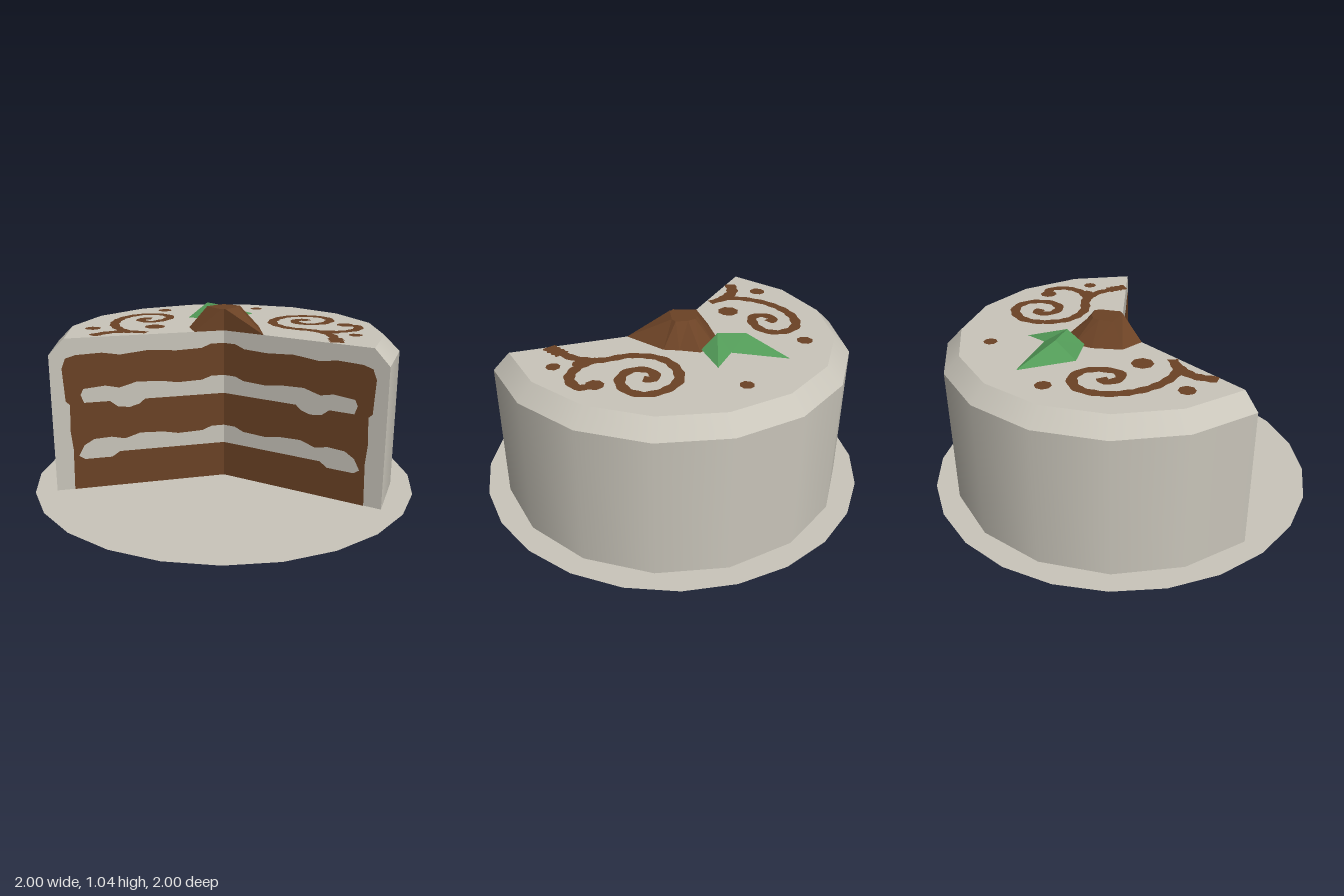
import * as THREE from 'three';

const mat = (name, color, extra = {}) => {
  const m = new THREE.MeshStandardMaterial({ color, ...extra });
  m.name = name;
  return m;
};

const PLATE_Y = 0.133, TOP = 0.93, SHOULDER = 0.85, R = 0.89, R_TOP = 0.81;

export function createModel() {
  const group = new THREE.Group();
  const cream = mat('cream icing', 0xc9c5ba, { side: THREE.DoubleSide });
  const brown = mat('chocolate', 0x6b4225, { side: THREE.DoubleSide });
  const chunk = mat('chocolate', 0x6b4225, { flatShading: true });
  chunk.color = brown.color;
  const green = mat('leaf green', 0x529a57, { side: THREE.DoubleSide, flatShading: true });

  const add = (name, geo, material, parent = group) => {
    const m = new THREE.Mesh(geo, material);
    m.name = name;
    parent.add(m);
    return m;
  };
  const v2 = (pts) => pts.map(([x, y]) => new THREE.Vector2(x, y));

  // Plate: shallow dish with a flat top
  add('plate', new THREE.CylinderGeometry(1, 0.61, PLATE_Y, 24), cream).position.y = PLATE_Y / 2;

  // Icing shell, five eighths of a full turn, one lathe per crisp band
  const shell = (name, pts) =>
    add(name, new THREE.LatheGeometry(v2(pts), 10, Math.PI / 2, Math.PI * 1.25), cream);
  shell('icingSide', [[R, PLATE_Y], [R, SHOULDER]]);
  shell('icingShoulder', [[R, SHOULDER], [R_TOP, TOP]]);
  shell('icingTop', [[R_TOP, TOP], [0, TOP]]);

  // Cut faces: icing outline, sponge over it, cream fillings over that
  const outline = [[0, PLATE_Y], [R, PLATE_Y], [R, SHOULDER], [R_TOP, TOP], [0, TOP]];
  const sponge = [[0, PLATE_Y], [0.8, PLATE_Y], [0.795, 0.35], [0.805, 0.45], [0.8, 0.59], [0.82, 0.61],
    [0.83, 0.78], [0.81, 0.83], [0.76, 0.845], [0.63, 0.85], [0.54, 0.835], [0.4, 0.85], [0.25, 0.84],
    [0.12, 0.845], [0.07, 0.865], [0, 0.865]];
  const upperFilling = [[0, 0.597], [0.42, 0.597], [0.45, 0.572], [0.5, 0.558], [0.56, 0.565], [0.6, 0.597],
    [0.73, 0.597], [0.745, 0.64], [0.73, 0.67], [0.62, 0.68], [0.55, 0.665], [0.46, 0.69], [0.33, 0.685],
    [0.25, 0.672], [0.12, 0.677], [0.07, 0.695], [0, 0.695]];
  const lowerFilling = [[0, 0.322], [0.56, 0.322], [0.6, 0.295], [0.74, 0.295], [0.77, 0.315], [0.74, 0.37],
    [0.69, 0.4], [0.6, 0.405], [0.53, 0.39], [0.45, 0.415], [0.33, 0.41], [0.25, 0.395], [0.12, 0.4],
    [0.07, 0.42], [0, 0.42]];
  for (const [name, side, turn] of [['leftCut', 1, 0], ['rightCut', -1, Math.PI / 4]]) {
    const cut = new THREE.Group();
    cut.name = name;
    cut.rotation.y = turn;
    group.add(cut);
    const layers = [['icingEdge', outline, cream], ['sponge', sponge, brown],
      ['upperFilling', upperFilling, cream], ['lowerFilling', lowerFilling, cream]];
    layers.forEach(([part, pts, m], i) => {
      const geo = new THREE.ShapeGeometry(new THREE.Shape(v2(pts.map(([x, y]) => [x * side, y]))));
      add(part, geo, m, cut).position.z = Math.min(i, 2) * 0.003;
    });
  }

  // Piped swirls: flat ribbons along smooth curves on the top
  const ribbon = (name, pts, width = 0.05) => {
    const curve = new THREE.CatmullRomCurve3(pts.map(([x, z]) => new THREE.Vector3(x, TOP + 0.004, z)));
    const n = pts.length * 6, pos = [], index = [];
    for (let i = 0; i <= n; i++) {
      const p = curve.getPointAt(i / n), t = curve.getTangentAt(i / n);
      const w = width / 2 * (1 + 0.12 * Math.sin(i * 1.3));
      pos.push(p.x + t.z * w, p.y, p.z - t.x * w, p.x - t.z * w, p.y, p.z + t.x * w);
      const a = i * 2;
      if (i < n) index.push(a, a + 1, a + 2, a + 1, a + 3, a + 2);
    }
    const geo = new THREE.BufferGeometry();
    geo.setAttribute('position', new THREE.Float32BufferAttribute(pos, 3));
    // Orient the strip so that it faces up
    geo.setIndex(index.reverse());
    geo.computeVertexNormals();
    if (geo.attributes.normal.getY(0) < 0) {
      geo.setIndex(index.reverse());
      geo.computeVertexNormals();
    }
    add(name, geo, brown);
  };
  ribbon('leftSwirl', [[0.27, -0.44], [0.23, -0.46], [0.21, -0.41], [0.24, -0.36], [0.31, -0.35], [0.37, -0.41],
    [0.37, -0.51], [0.31, -0.57], [0.22, -0.57], [0.13, -0.51], [0.1, -0.4], [0.14, -0.28], [0.26, -0.21],
    [0.42, -0.21], [0.53, -0.15], [0.6, -0.03]]);
  ribbon('leftSwirlFoot', [[0.57, -0.1], [0.61, -0.03], [0.62, -0.005]], 0.07);
  ribbon('leftHook', [[0.42, -0.2], [0.53, -0.25], [0.585, -0.34], [0.56, -0.43], [0.49, -0.43]]);
  ribbon('rightSwirl', [[-0.5, -0.06], [-0.54, -0.04], [-0.51, 0.02], [-0.45, 0.02], [-0.42, -0.06], [-0.44, -0.15],
    [-0.51, -0.19], [-0.6, -0.16], [-0.645, -0.06], [-0.63, 0.07], [-0.55, 0.2], [-0.42, 0.28], [-0.3, 0.26]]);
  ribbon('rightHook', [[-0.38, 0.28], [-0.46, 0.35], [-0.495, 0.46]], 0.06);

  // Small piped dots
  const dots = [[-0.15, -0.63, 0.035], [-0.585, -0.31, 0.04], [-0.6, 0.32, 0.042], [-0.35, 0.12, 0.055],
    [0.635, -0.21, 0.035], [0.49, -0.43, 0.045], [0.51, -0.22, 0.04]];
  for (const [x, z, r] of dots) {
    const dot = add('icingDot', new THREE.CircleGeometry(r, 8), brown);
    dot.rotation.x = -Math.PI / 2;
    dot.position.set(x, TOP + 0.005, z);
  }

  // Faceted surface from a list of triangles
  const facets = (tris) => {
    const geo = new THREE.BufferGeometry();
    geo.setAttribute('position', new THREE.Float32BufferAttribute(tris.flat(2), 3));
    geo.computeVertexNormals();
    return geo;
  };

  // Chocolate chunk, sliced along both cuts
  const base = [[0, 0], [0.23, 0], [0.1, -0.19], [0.03, -0.22], [-0.06, -0.27], [-0.15, -0.22], [-0.19, -0.13],
    [-0.2, 0.02], [-0.11, 0.11]].map(([x, z]) => [x, TOP, z]);
  const crown = [[0, 0], [0.01, 0], [0.03, -0.1], [0.02, -0.13], [-0.04, -0.14], [-0.08, -0.13], [-0.1, -0.1],
    [-0.12, -0.03], [-0.01, 0.01]].map(([x, z]) => [x, 1.04, z]);
  const tris = [];
  base.forEach((b, i) => {
    const j = (i + 1) % base.length;
    tris.push([b, base[j], crown[j]], [b, crown[j], crown[i]], [[-0.04, 1.04, -0.06], crown[i], crown[j]]);
  });
  add('chocolateChunk', facets(tris), chunk);

  // Two folded leaves beside the chunk
  const tipA = [-0.44, TOP, -0.455], tipB = [-0.08, TOP + 0.01, -0.455], notch = [-0.18, 0.955, -0.36];
  const edgeA = [-0.34, 0.935, -0.19], edgeB = [-0.06, 0.95, -0.28], root = [-0.18, 0.945, -0.165];
  const crestA = [-0.28, 1.01, -0.29], crestB = [-0.15, 1.01, -0.25];
  const fan = (c, ring) => ring.slice(1).map((p, i) => [c, ring[i], p]);
  add('leafRight', facets(fan(crestA, [tipA, edgeA, root, crestB, notch, tipA])), green);
  add('leafLeft', facets(fan(crestB, [root, edgeB, tipB, notch])), green);

  return group;
}
